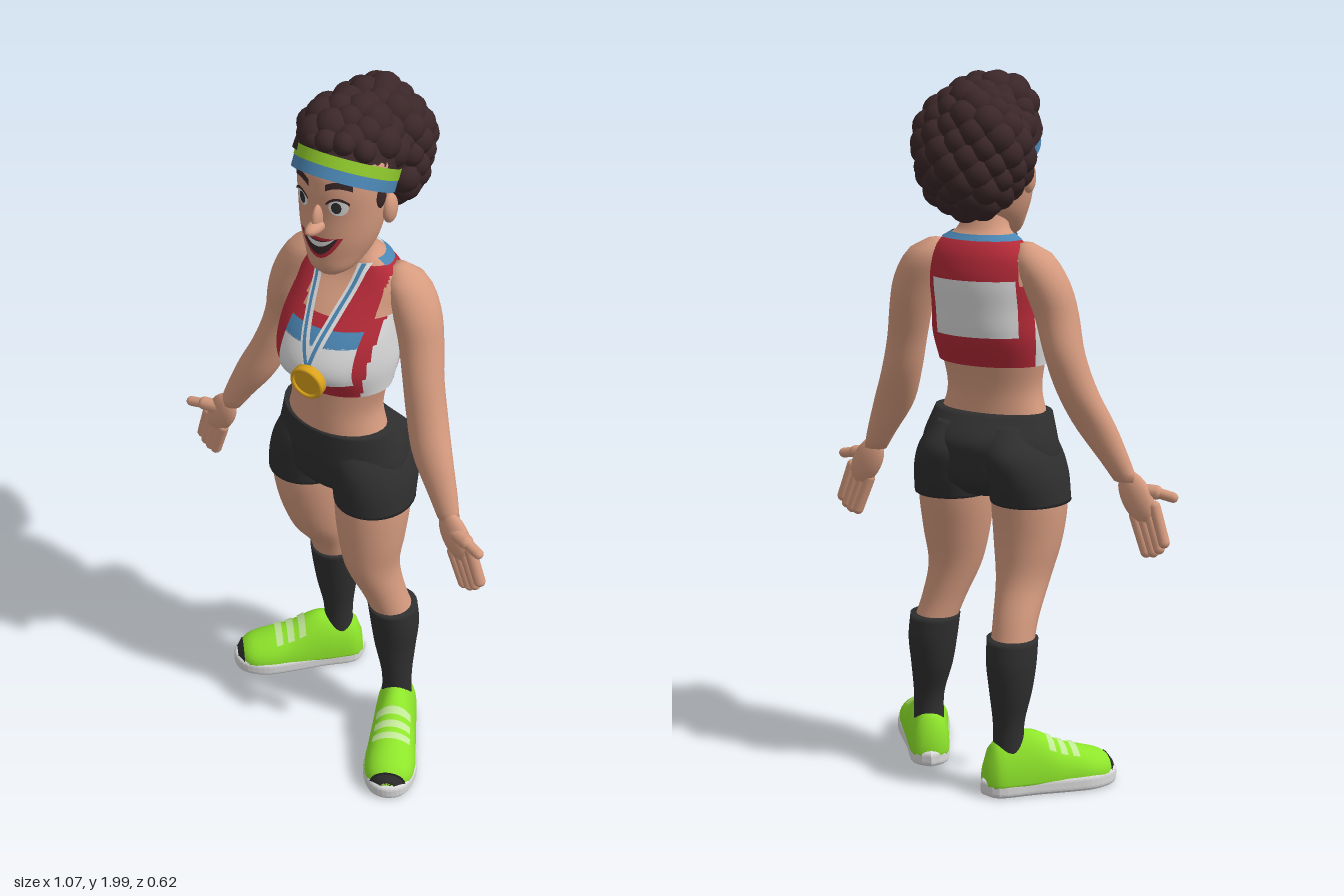
import * as THREE from 'three';
import { mergeGeometries } from 'three/addons/utils/BufferGeometryUtils.js';

const mat = (name, color) => Object.assign(new THREE.MeshStandardMaterial({ color }), { name });
const skin = mat('skin', 0xd69b7f), hairMat = mat('dark brown', 0x3b2729), charcoal = mat('charcoal', 0x2f2f2f);
const lime = mat('lime', 0x8ee52b), red = mat('red', 0xb52a38), white = mat('off white', 0xdcdcdc);
const blue = mat('blue', 0x4b86b4), gold = mat('gold', 0xdba21c), pale = mat('pale green', 0xc3e89a);
const bandLime = mat('headband lime', 0x8fc92c);
bandLime.side = blue.side = THREE.DoubleSide;

function add(parent, name, geometry, material) {
  const m = new THREE.Mesh(geometry, material);
  m.name = name;
  parent.add(m);
  return m;
}

// A section is [y, centreX, centreZ, radiusX, radiusFront, radiusBack]; this blends smoothly between them
function at(secs, y) {
  let i = 0;
  while (i < secs.length - 2 && y > secs[i + 1][0]) i++;
  const a = secs[i], b = secs[i + 1], h = b[0] - a[0], t = (y - a[0]) / h;
  const p = secs[i - 1] || a, q = secs[i + 2] || b;
  return a.map((v, k) => {
    if (k === 0) return y;
    const m0 = (b[k] - p[k]) / (b[0] - p[0]) * h, m1 = (q[k] - v) / (q[0] - a[0]) * h;
    const t2 = t * t, t3 = t2 * t;
    return v * (2 * t3 - 3 * t2 + 1) + m0 * (t3 - 2 * t2 + t) + b[k] * (3 * t2 - 2 * t3) + m1 * (t3 - t2);
  });
}

// Closed skin through the sections; pick(y, angle, x) chooses a material index per face, -1 leaves it out
function loft(secs, { segs = 32, rows = 24, pick = null, y0 = secs[0][0], y1 = secs.at(-1)[0], grow = 0 } = {}) {
  const pos = [], lists = [[], [], []];
  for (let j = 0; j <= rows; j++) {
    const [y, cx, cz, rx, rf, rb] = at(secs, y0 + (y1 - y0) * j / rows);
    for (let i = 0; i < segs; i++) {
      const a = i / segs * Math.PI * 2, c = Math.cos(a);
      pos.push(cx + (rx + grow) * Math.sin(a), y, cz + ((c > 0 ? rf : rb) + grow) * c);
    }
  }
  for (let j = 0; j < rows; j++) for (let i = 0; i < segs; i++) {
    const k = (i + 1) % segs, p = j * segs + i, q = j * segs + k;
    const y = y0 + (y1 - y0) * (j + 0.5) / rows, a = (i + 0.5) / segs * Math.PI * 2;
    const s = at(secs, y), g = pick ? pick(y, a, s[1] + s[3] * Math.sin(a)) : 0;
    if (g >= 0) lists[g].push(p, q, q + segs, p, q + segs, p + segs);
  }
  if (!pick) for (const [row, end] of [[0, 0], [rows, 1]]) {
    const s = at(secs, end ? y1 : y0), c = pos.length / 3;
    pos.push(s[1], s[0], s[2]);
    for (let i = 0; i < segs; i++) {
      const p = row * segs + i, q = row * segs + (i + 1) % segs;
      lists[0].push(c, end ? p : q, end ? q : p);
    }
  }
  const g = new THREE.BufferGeometry();
  g.setAttribute('position', new THREE.Float32BufferAttribute(pos, 3));
  g.setIndex(lists.flat());
  let start = 0;
  if (pick) lists.forEach((l, i) => { g.addGroup(start, l.length, i); start += l.length; });
  g.computeVertexNormals();
  return g;
}

// Thin sheet lying on the front (side 1) or back (side -1) of a loft; f(u, v) gives x and y, u and v run -1 to 1
function patch(secs, f, off, side = 1) {
  const g = new THREE.PlaneGeometry(2, 2, 16, 12), p = g.attributes.position;
  for (let i = 0; i < p.count; i++) {
    const [x, y] = f(p.getX(i) * side, p.getY(i)), [, cx, cz, rx, rf, rb] = at(secs, y);
    const d = Math.sqrt(Math.max(0, 1 - ((x - cx) / rx) ** 2));
    p.setXYZ(i, x, y, cz + side * ((side > 0 ? rf : rb) * d + off));
  }
  g.computeVertexNormals();
  return g;
}
const oval = (cx, cy, rx, ry) => (u, v) => [cx + rx * u, cy + ry * v * Math.sqrt(Math.max(0, 1 - u * u))];
const box = (x, y, w, h) => (u, v) => [x + w * u, y + h * v];

function ball(x, y, z, rx, ry = rx, rz = rx, w = 16, h = 12) {
  return new THREE.SphereGeometry(1, w, h).scale(rx, ry, rz).translate(x, y, z);
}

function capsule(a, b, r) {
  const d = b.clone().sub(a), g = new THREE.CapsuleGeometry(r, d.length(), 5, 10);
  g.applyQuaternion(new THREE.Quaternion().setFromUnitVectors(new THREE.Vector3(0, 1, 0), d.normalize()));
  return g.translate((a.x + b.x) / 2, (a.y + b.y) / 2, (a.z + b.z) / 2);
}

// Bumpy curls spread evenly over an ellipsoid
function curls(c, r, n, size, keep) {
  const out = [];
  for (let i = 0; i < n; i++) {
    const y = 1 - 2 * (i + 0.5) / n, s = Math.sqrt(1 - y * y), a = i * 2.39996, k = size * (0.95 + 0.12 * Math.sin(i * 7.3));
    const d = [Math.cos(a) * s, y, Math.sin(a) * s];
    if (keep(d)) out.push(ball(c[0] + d[0] * r[0], c[1] + d[1] * r[1], c[2] + d[2] * r[2], k, k, k, 14, 10));
  }
  return out;
}

function buildTorso(g) {
  const chest = [[1.2, 0, 0.05, 0.158, 0.13, 0.11], [1.28, 0, 0.04, 0.168, 0.188, 0.135], [1.36, 0, 0.035, 0.165, 0.168, 0.145],
    [1.44, 0, 0, 0.158, 0.135, 0.12], [1.5, 0, -0.01, 0.153, 0.085, 0.1], [1.535, 0, -0.012, 0.125, 0.066, 0.08],
    [1.57, 0, -0.003, 0.075, 0.055, 0.058], [1.64, 0, 0.02, 0.06, 0.055, 0.06]];
  // Racer-cut top: skin at neckline and armholes, white side panels
  add(g, 'chestAndTop', loft(chest, { segs: 96, rows: 60, pick: (y, a, x) => {
    const w = Math.abs(x), c = Math.cos(a);
    if (y > 1.547 || (y > 1.43 && w > 0.135) || (c > 0 && y > 1.43 && w < 0.05 + (y - 1.43) * 0.25)) return 0;
    return y < 1.43 && c > -0.3 && c < 0.55 - (y - 1.2) * 1.2 ? 2 : 1;
  } }), [skin, red, white]);
  add(g, 'waist', loft([[1.02, 0, 0.05, 0.168, 0.12, 0.08], [1.12, 0, 0.055, 0.138, 0.115, 0.085], [1.22, 0, 0.05, 0.152, 0.12, 0.1]]), skin);
  add(g, 'topUnderside', new THREE.CircleGeometry(1, 32).rotateX(Math.PI / 2).scale(0.157, 1, 0.12).translate(0, 1.201, 0.06), red);
  // Front and back bibs
  add(g, 'frontBib', patch(chest, box(0.033, 1.31, 0.1, 0.055), 0.006), white);
  add(g, 'frontBibStripe', patch(chest, box(0.033, 1.383, 0.1, 0.02), 0.006), blue);
  add(g, 'backBib', patch(chest, box(-0.015, 1.365, 0.118, 0.078), 0.006, -1), white);
  // Medal on its ribbon
  for (const s of [-1, 1]) for (const [w, m, off] of [[0.014, white, 0.014], [0.005, blue, 0.017]]) {
    add(g, 'ribbon', patch(chest, (u, v) => {
      const t = (v + 1) / 2;
      return [0.045 + (s * 0.075 - 0.045) * t + u * w, 1.31 + 0.245 * t];
    }, off), m);
  }
  add(g, 'ribbonCollar', loft(chest, { y0: 1.545, y1: 1.56, rows: 4, grow: 0.006, pick: (y, a) => Math.cos(a) < 0.2 ? 0 : -1 }), [blue]);
  const medal = new THREE.Group();
  medal.name = 'medal';
  medal.position.set(0.048, 1.275, 0.234);
  medal.rotation.set(0.12, 0.15, 0);
  g.add(medal);
  add(medal, 'medalDisc', new THREE.CylinderGeometry(0.048, 0.048, 0.02, 32).rotateX(Math.PI / 2), gold);
  add(medal, 'medalRim', new THREE.TorusGeometry(0.043, 0.006, 8, 32).translate(0, 0, 0.01), gold);
  // Shorts body
  add(g, 'shorts', loft([[0.835, 0, 0.04, 0.09, 0.08, 0.08], [0.88, 0, 0.04, 0.19, 0.125, 0.13], [0.95, 0, 0.04, 0.203, 0.135, 0.146],
    [1.0, 0, 0.038, 0.194, 0.137, 0.142], [1.065, 0, 0.05, 0.174, 0.122, 0.09]]), charcoal);
}

function buildLeg(g, s, path, heading) {
  const leg = new THREE.Group();
  leg.name = s > 0 ? 'leftLeg' : 'rightLeg';
  g.add(leg);
  const sec = rows => rows.map(([y, ...r]) => {
    const c = at(path, y);
    return [y, c[1], c[2], ...r];
  });
  add(leg, 'bareLeg', loft(sec([[0.42, 0.06, 0.058, 0.062], [0.5, 0.063, 0.064, 0.063], [0.6, 0.075, 0.08, 0.08],
    [0.7, 0.094, 0.095, 0.095], [0.8, 0.105, 0.105, 0.108], [0.88, 0.105, 0.105, 0.11]])), skin);
  add(leg, 'sock', loft(sec([[0.1, 0.045, 0.043, 0.043], [0.2, 0.044, 0.044, 0.043], [0.3, 0.06, 0.055, 0.063],
    [0.38, 0.07, 0.065, 0.073], [0.45, 0.072, 0.07, 0.07]])), charcoal);
  add(leg, 'shortsLeg', loft([[0.82, s * 0.12, 0.05, 0.11, 0.115, 0.125], [0.9, s * 0.112, 0.045, 0.108, 0.125, 0.15],
    [0.97, s * 0.095, 0.04, 0.1, 0.125, 0.155], [1.04, s * 0.08, 0.04, 0.07, 0.09, 0.1]]), charcoal);
  // Shoe, built heel to toe
  const shoe = new THREE.Group(), ankle = at(path, 0.15);
  shoe.name = 'shoe';
  shoe.rotation.y = heading;
  shoe.position.set(ankle[1] - 0.07 * Math.sin(heading), 0, ankle[2] - 0.07 * Math.cos(heading));
  leg.add(shoe);
  const upper = [[0, 0, -0.04, 0.03, 0.02, 0.05], [0.02, 0, -0.04, 0.052, 0.03, 0.105], [0.08, 0, -0.04, 0.06, 0.03, 0.13],
    [0.14, 0, -0.04, 0.063, 0.03, 0.135], [0.22, 0, -0.04, 0.069, 0.03, 0.092], [0.3, 0, -0.04, 0.073, 0.03, 0.066],
    [0.355, 0, -0.04, 0.057, 0.03, 0.045], [0.38, 0, -0.04, 0.02, 0.02, 0.015]];
  add(shoe, 'shoeUpper', loft(upper).rotateX(Math.PI / 2), lime);
  for (const z of [0.175, 0.21, 0.245]) {
    add(shoe, 'strap', loft(upper, { y0: z, y1: z + 0.02, rows: 3, grow: 0.004,
      pick: (y, a) => Math.abs(a - Math.PI) < 0.75 ? 0 : -1 }).rotateX(Math.PI / 2), [pale]);
  }
  add(shoe, 'toeTip', loft(upper, { y0: 0.363, y1: 0.38, rows: 4, grow: 0.003 }).rotateX(Math.PI / 2), charcoal);
  const half = [[0.042, 0.03], [0.05, 0.13], [0.063, 0.24], [0.065, 0.305], [0.042, 0.362]].map(p => new THREE.Vector2(...p));
  const mirrored = half.map(p => new THREE.Vector2(-p.x, p.y)).reverse();
  const outline = new THREE.SplineCurve([new THREE.Vector2(0, 0), ...half, new THREE.Vector2(0, 0.38), ...mirrored, new THREE.Vector2(0, 0)]);
  const sole = new THREE.ExtrudeGeometry(new THREE.Shape(outline.getPoints(48)), { depth: 0.018, bevelEnabled: true, bevelSize: 0.011, bevelThickness: 0.014, bevelSegments: 4 });
  add(shoe, 'sole', sole.rotateX(Math.PI / 2).translate(0, 0.032, 0), white);
}

function buildArm(g, s) {
  const arm = new THREE.Group();
  arm.name = s > 0 ? 'leftArm' : 'rightArm';
  g.add(arm);
  const rows = [[0.9, 0.395, 0.072, 0.034, 0.024], [0.95, 0.37, 0.063, 0.043, 0.032], [1.05, 0.315, 0.044, 0.06, 0.044],
    [1.15, 0.272, 0.017, 0.058, 0.052], [1.25, 0.243, 0, 0.056, 0.055], [1.35, 0.215, -0.004, 0.06, 0.062],
    [1.42, 0.193, -0.012, 0.065, 0.066], [1.48, 0.165, -0.018, 0.062, 0.063], [1.52, 0.145, -0.018, 0.046, 0.046], [1.538, 0.13, -0.018, 0.02, 0.02]];
  const turn = s > 0 ? -0.018 : 0.012;
  add(arm, 'arm', loft(rows.map(([y, x, z, rx, rz]) => [y, s * x, z + turn * (y > 1.3 ? 1 : 0), rx, rz, rz])), skin);
  // Hand with palm, four close fingers and thumb
  const palm = new THREE.SphereGeometry(1, 20, 14).scale(0.045, 0.08, 0.026).rotateZ(s * 0.5).translate(s * 0.427, 0.855, 0.078);
  const V = (x, y, z) => new THREE.Vector3(s * x, y, z), parts = [palm];
  for (let i = -1.5; i <= 1.5; i++) {
    const x = 0.45 + 0.019 * i, y = 0.82 + 0.011 * i, len = 0.113 - 0.008 * Math.abs(i);
    parts.push(capsule(V(x, y, 0.08), V(x + len * (0.34 - i * 0.02), y - len * 0.94, 0.075), 0.0165));
  }
  parts.push(capsule(V(0.425, 0.875, 0.083), V(0.475, 0.872, 0.095), 0.02), capsule(V(0.47, 0.873, 0.095), V(0.522, 0.862, 0.103), 0.0145));
  add(arm, 'hand', mergeGeometries(parts), skin);
}

function buildHead(g) {
  const head = new THREE.Group();
  head.name = 'head';
  head.position.x = -0.008;
  head.rotation.y = 0.12;
  g.add(head);
  const face = [[1.535, 0, 0.1, 0.03, 0.022, 0.03], [1.555, 0, 0.085, 0.06, 0.055, 0.06], [1.6, 0, 0.05, 0.088, 0.096, 0.08],
    [1.65, 0, 0.04, 0.106, 0.107, 0.1], [1.72, 0, 0.03, 0.117, 0.115, 0.11], [1.8, 0, 0.02, 0.121, 0.13, 0.12],
    [1.86, 0, 0.01, 0.112, 0.126, 0.11], [1.91, 0, 0, 0.06, 0.07, 0.07]];
  add(head, 'face', loft(face, { segs: 40, rows: 36 }), skin);
  add(head, 'nose', mergeGeometries([ball(0, 1.694, 0.158, 0.02, 0.018, 0.042), ball(0, 1.715, 0.145, 0.013, 0.04, 0.028)]), skin);
  // Smiling mouth
  const smile = (w, lo, hi) => (u, v) => [w * u, THREE.MathUtils.lerp(lo + (1.666 - lo) * u * u, hi + (1.666 - hi) * u * u, (v + 1) / 2)];
  add(head, 'lips', patch(face, smile(0.064, 1.598, 1.66), 0.003), red);
  add(head, 'mouth', patch(face, smile(0.054, 1.61, 1.652), 0.005), hairMat);
  add(head, 'teeth', patch(face, smile(0.048, 1.635, 1.65), 0.007), white);
  for (const s of [-1, 1]) {
    add(head, 'eye', patch(face, oval(s * 0.054, 1.757, 0.023, 0.024), 0.004), white);
    add(head, 'iris', patch(face, oval(s * 0.051, 1.757, 0.012, 0.017), 0.006), charcoal);
    add(head, 'upperLid', patch(face, (u, v) => [s * 0.054 + 0.027 * u, 1.783 - 0.016 * u * u + 0.004 * v], 0.007), hairMat);
    add(head, 'eyebrow', patch(face, (u, v) => [s * 0.055 + 0.03 * u, 1.822 - 0.01 * u * u + 0.009 * v], 0.006), hairMat);
    add(head, 'ear', ball(s * 0.12, 1.71, 0, 0.018, 0.042, 0.027), skin);
    add(head, 'sideburn', ball(s * 0.106, 1.765, 0.035, 0.02, 0.045, 0.026), hairMat);
  }
  // Tilted headband with the hair cap rising from it
  const crown = new THREE.Group();
  crown.name = 'crown';
  crown.position.set(-0.003, 1.792, 0.018);
  crown.rotation.x = -0.5;
  head.add(crown);
  const hoop = (y, r) => new THREE.CylinderGeometry(r, r, 0.031, 48, 1, true).scale(0.13, 1, 0.15).translate(0, y, 0);
  add(crown, 'headbandLower', hoop(-0.008, 1.01), blue);
  add(crown, 'headbandUpper', hoop(0.023, 1.02), bandLime);
  const c = [-0.01, 0.02, 0];
  const cap = new THREE.SphereGeometry(1, 32, 12, 0, Math.PI * 2, 0, Math.PI / 2).scale(0.135, 0.165, 0.142).translate(...c);
  const fringe = [-2, -1, 0, 1, 2].map(i => ball(i * 0.042, 0.066 + 0.006 * (i % 2), 0.133 - 0.012 * i * i, 0.031));
  add(crown, 'hairCap', mergeGeometries([cap, ...fringe, ...curls(c, [0.118, 0.144, 0.122], 90, 0.046, d => d[1] > 0.38)]), hairMat);
  // Big round mass of curls behind
  const p = [-0.02, 1.79, -0.15], r = [0.126, 0.142, 0.106];
  add(head, 'hairPuff', mergeGeometries([ball(...p, 0.146, 0.162, 0.126, 28, 20), ...curls(p, r, 95, 0.044, d => d[2] < 0.5)]), hairMat);
}

export function createModel() {
  const g = new THREE.Group();
  g.name = 'athlete';
  buildTorso(g);
  // Leg centre lines [y, x, z]
  buildLeg(g, 1, [[0.1, 0.205, 0.04], [0.2, 0.205, 0.042], [0.3, 0.19, 0.036], [0.45, 0.178, 0.034], [0.5, 0.158, 0.05],
    [0.6, 0.132, 0.07], [0.7, 0.124, 0.065], [0.8, 0.118, 0.055], [0.9, 0.112, 0.045]], 0.6);
  buildLeg(g, -1, [[0.1, -0.115, -0.07], [0.2, -0.115, -0.07], [0.3, -0.12, -0.066], [0.45, -0.12, -0.058], [0.5, -0.118, -0.035],
    [0.6, -0.112, 0.02], [0.7, -0.114, 0.042], [0.8, -0.115, 0.05], [0.9, -0.112, 0.045]], -0.73);
  for (const s of [-1, 1]) buildArm(g, s);
  buildHead(g);
  return g;
}
